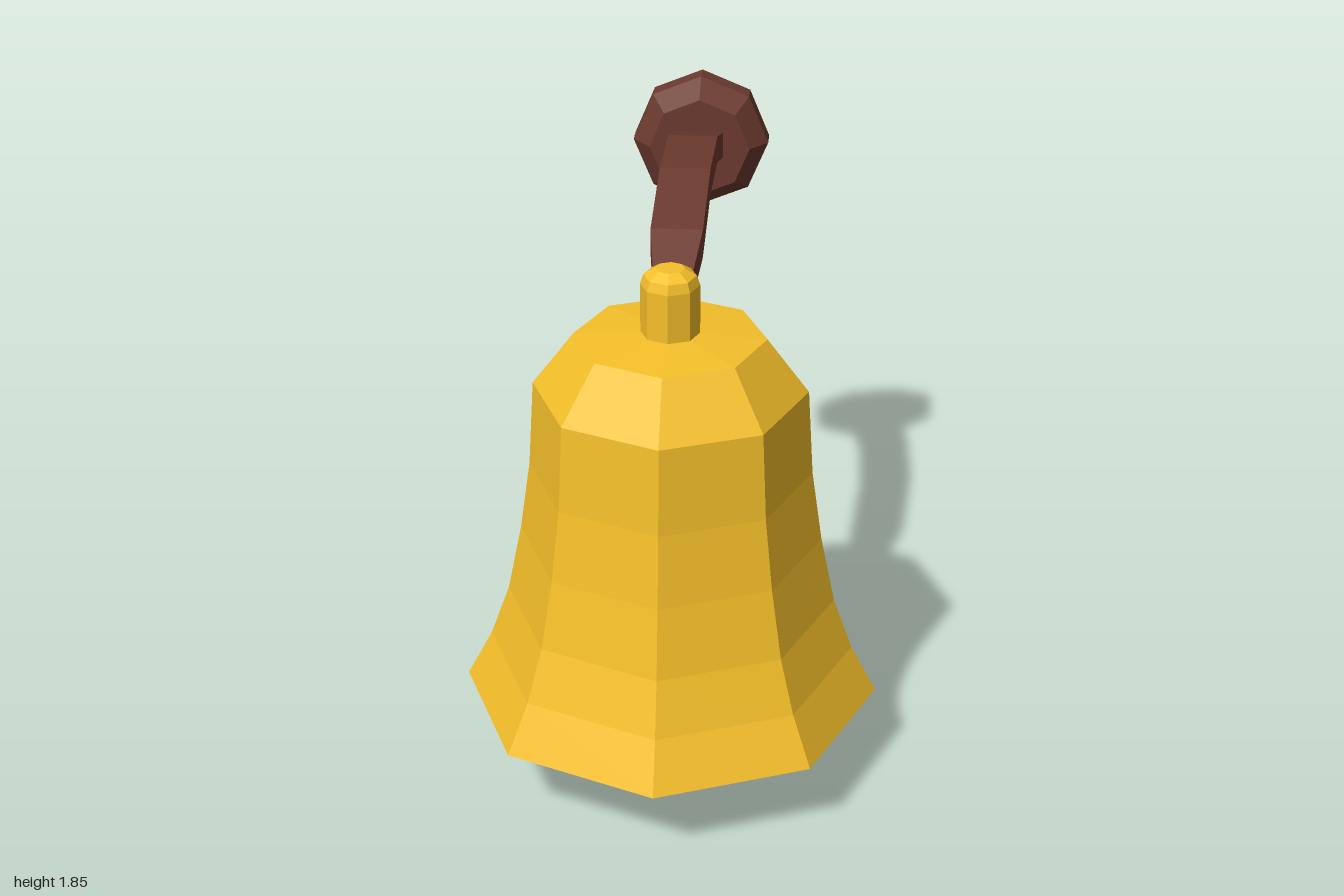
import * as THREE from 'three';

const BELL_Z = 0.345;

const paint = (color) => new THREE.MeshStandardMaterial({ color, flatShading: true, side: THREE.DoubleSide });

// Eight-sided turned part from [radius, height] pairs
function turned(name, profile, material, sides = 8) {
  const points = profile.map(([r, y]) => new THREE.Vector2(r, y));
  const mesh = new THREE.Mesh(new THREE.LatheGeometry(points, sides), material);
  mesh.name = name;
  return mesh;
}

// Rectangular bar swept through [z, bottom y, top y, half width] sections
function bar(sections) {
  const positions = [];
  const index = [];
  for (const [z, low, high, w] of sections) {
    positions.push(-w, low, z, w, low, z, w, high, z, -w, high, z);
  }
  const last = (sections.length - 1) * 4;
  for (let s = 0; s < last; s += 4) {
    for (let i = 0; i < 4; i++) {
      const a = s + i, b = s + (i + 1) % 4;
      index.push(a, a + 4, b, b, a + 4, b + 4);
    }
  }
  index.push(0, 1, 2, 0, 2, 3);
  index.push(last, last + 2, last + 1, last, last + 3, last + 2);
  const geometry = new THREE.BufferGeometry();
  geometry.setAttribute('position', new THREE.Float32BufferAttribute(positions, 3));
  geometry.setIndex(index);
  geometry.computeVertexNormals();
  return geometry;
}

export function createModel() {
  const model = new THREE.Group();
  model.name = 'wallBell';
  const gold = paint(0xf6c02a);
  const brown = paint(0x6b3a2e);

  const bell = new THREE.Group();
  bell.name = 'bell';
  bell.position.z = BELL_Z;
  model.add(bell);

  // Hollow bell: inner wall down to the lip, then the flared outside up to the crown
  bell.add(turned('bellBody', [
    [0, 1.43], [0.25, 1.42], [0.36, 1.28], [0.38, 1.03], [0.41, 0.8], [0.455, 0.58], [0.515, 0.41],
    [0.6, 0.225], [0.655, 0.255], [0.575, 0.41], [0.515, 0.58], [0.47, 0.8], [0.437, 1.03],
    [0.42, 1.305], [0.292, 1.475], [0, 1.497],
  ], gold));

  // Knob on the crown
  bell.add(turned('knob', [[0.09, 1.47], [0.09, 1.645], [0.08, 1.675], [0.045, 1.697], [0, 1.697]], gold));

  // Clapper rod and ball
  const rod = new THREE.Mesh(new THREE.CylinderGeometry(0.03, 0.03, 1.1, 8), gold);
  rod.name = 'clapperRod';
  rod.position.y = 0.88;
  bell.add(rod);
  const ball = new THREE.Mesh(new THREE.SphereGeometry(0.2, 8, 6), gold);
  ball.name = 'clapperBall';
  ball.scale.y = 0.94;
  ball.rotation.y = Math.PI / 8;
  ball.position.y = 0.188;
  bell.add(ball);

  // Arched arm, narrowing where it meets the knob
  const arm = new THREE.Mesh(bar([
    [0.32, 1.52, 1.6, 0.05], [0.1, 1.63, 1.72, 0.08], [-0.23, 1.7, 1.79, 0.08],
    [-0.56, 1.685, 1.775, 0.08], [-0.9, 1.575, 1.665, 0.08],
  ]), brown);
  arm.name = 'arm';
  model.add(arm);

  // Wall plate, open at the back
  const plate = turned('wallPlate', [[0.23, 0], [0.23, 0.072], [0.17, 0.142], [0, 0.142]], brown);
  plate.rotation.x = Math.PI / 2;
  plate.position.set(0, 1.62, -1);
  model.add(plate);

  return model;
}
